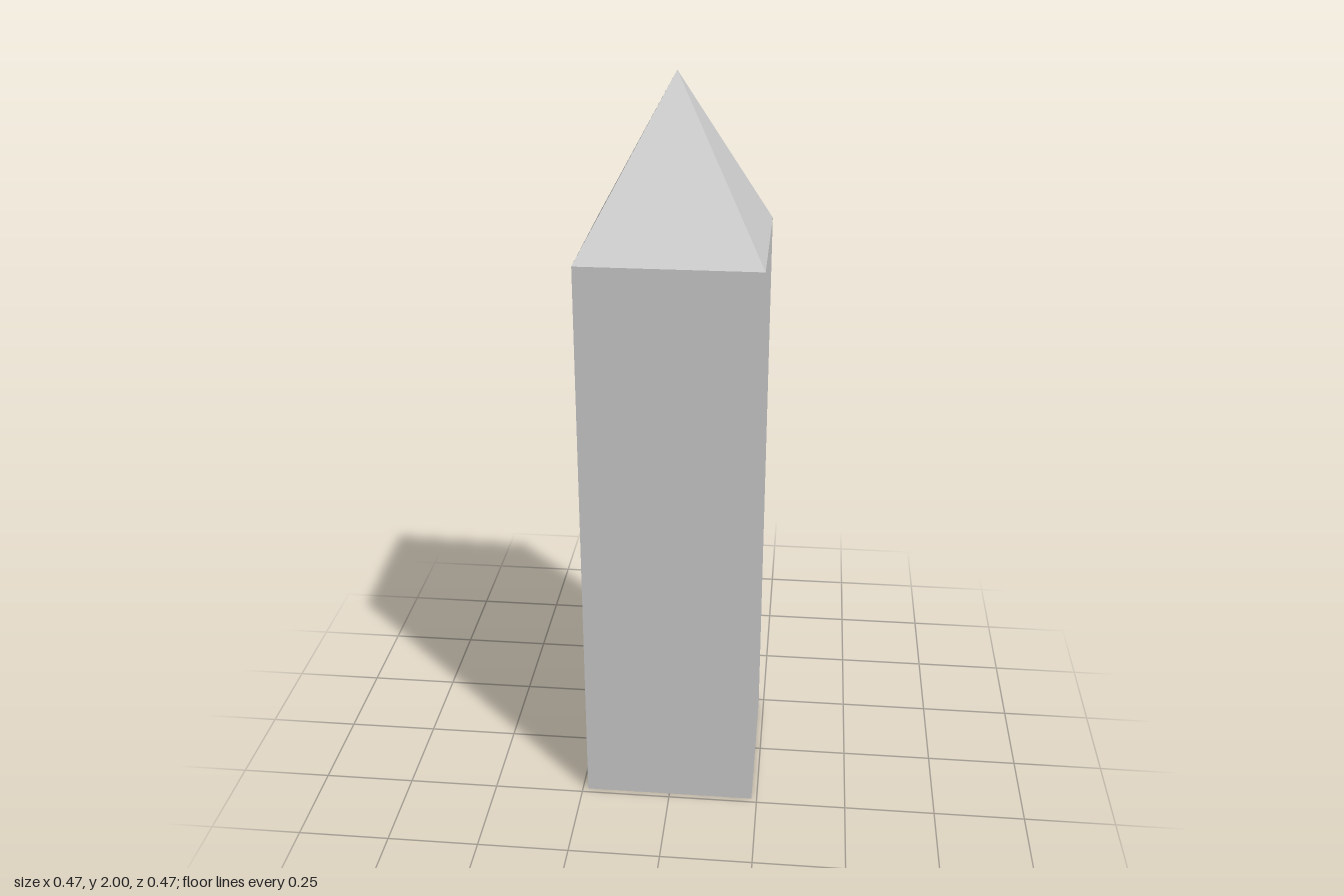
import * as THREE from 'three';

const HALF_WIDTH = 0.235;
const SHOULDER = 1.57; // height where the shaft meets the tip
const TOP = 2;

export function createModel() {
  const model = new THREE.Group();
  model.name = 'obelisk';
  const material = new THREE.MeshStandardMaterial({ color: 0xcccccc, flatShading: true });
  const radius = HALF_WIDTH * Math.SQRT2; // centre to corner of the square

  // Square shaft with a closed base, open under the tip
  const profile = [[0, 0], [radius, 0], [radius, SHOULDER]].map(([x, y]) => new THREE.Vector2(x, y));
  const shaft = new THREE.Mesh(new THREE.LatheGeometry(profile, 4, Math.PI / 4), material);
  shaft.name = 'shaft';
  model.add(shaft);

  // Four-sided pyramid tip
  const height = TOP - SHOULDER;
  const tipGeometry = new THREE.ConeGeometry(radius, height, 4, 1, true, Math.PI / 4);
  tipGeometry.translate(0, SHOULDER + height / 2, 0);
  const tip = new THREE.Mesh(tipGeometry, material);
  tip.name = 'pyramidTip';
  model.add(tip);

  return model;
}
